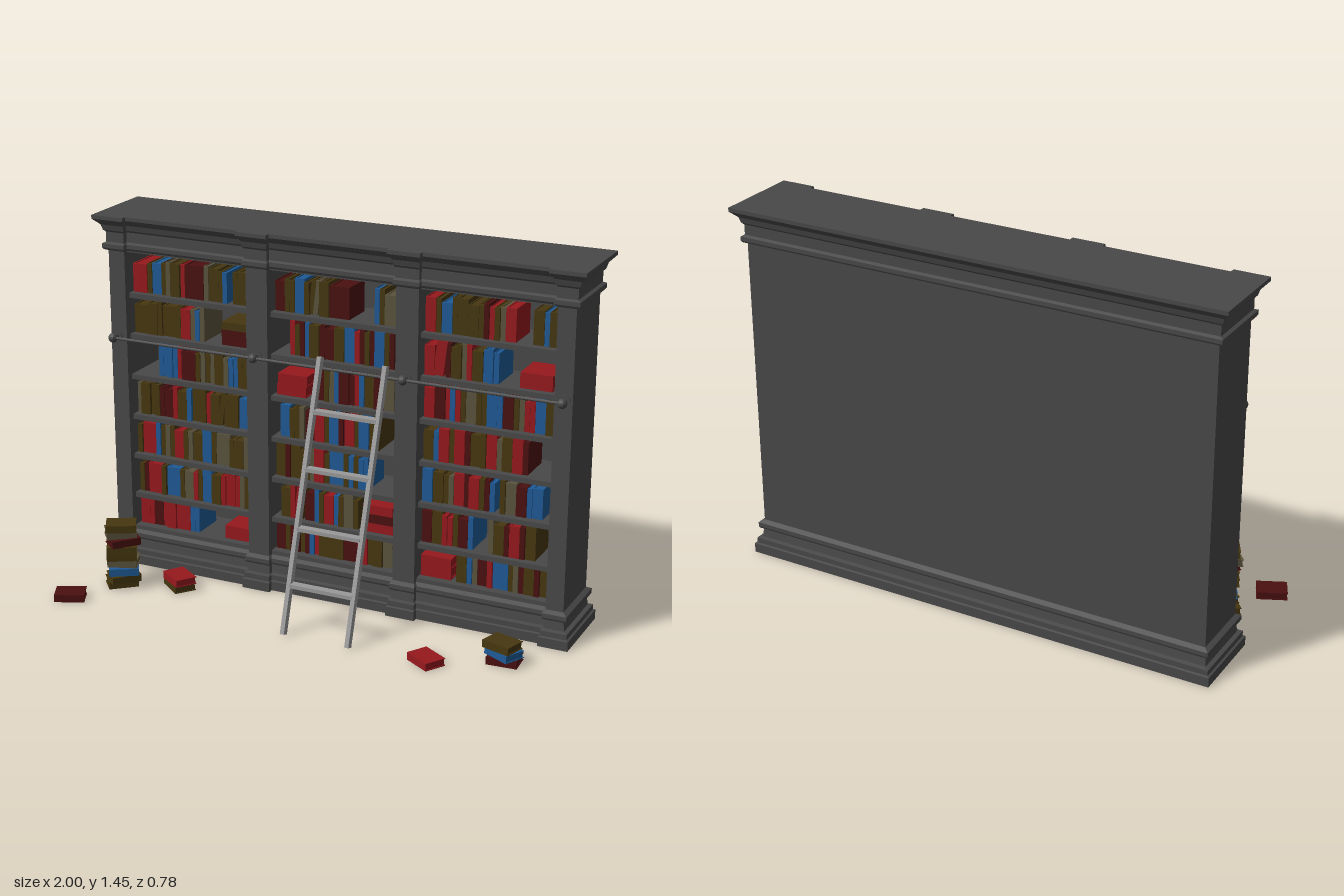
import * as THREE from 'three';
import { mergeGeometries } from 'three/addons/utils/BufferGeometryUtils.js';

const mat = (color) => new THREE.MeshStandardMaterial({ color, flatShading: true });
const wood = mat(0x484848), metal = mat(0x484848), ladderMat = mat(0x999999);
const bookMats = { R: mat(0x96191d), D: mat(0x4a1010), O: mat(0x463710), G: mat(0x5a523c), B: mat(0x1f5a96) };

let seed = 7;
const rnd = () => (seed = (seed * 16807) % 2147483647) / 2147483647;

function add(parent, name, geo, material, x = 0, y = 0, z = 0) {
  const m = new THREE.Mesh(geo, material);
  m.name = name;
  m.position.set(x, y, z);
  parent.add(m);
  return m;
}

// box given by its extents
function block(parent, name, x0, x1, y0, y1, z0, z1, material = wood) {
  return add(parent, name, new THREE.BoxGeometry(x1 - x0, y1 - y0, z1 - z0), material,
    (x0 + x1) / 2, (y0 + y1) / 2, (z0 + z1) / 2);
}

// moulded block: rectangular rings that grow by the profile offset,
// k = share of the offset used on the left (-x), right (+x), back and front
function moulded(profile, x0, x1, z0, z1, k) {
  const pos = [], idx = [];
  for (const [y, o] of profile) {
    const a = x0 - o * k[0], b = x1 + o * k[1], c = z0 - o * k[2], d = z1 + o * k[3];
    pos.push(a, y, d, b, y, d, b, y, c, a, y, c);
  }
  const n = profile.length;
  for (let i = 0; i < n - 1; i++) for (let j = 0; j < 4; j++) {
    const a = i * 4 + j, b = i * 4 + (j + 1) % 4;
    idx.push(a, b, b + 4, a, b + 4, a + 4);
  }
  const t = (n - 1) * 4;
  idx.push(t, t + 1, t + 2, t, t + 2, t + 3, 0, 2, 1, 0, 3, 2);
  const g = new THREE.BufferGeometry();
  g.setAttribute('position', new THREE.Float32BufferAttribute(pos, 3));
  g.setIndex(idx);
  const flat = g.toNonIndexed();
  flat.computeVertexNormals();
  return flat;
}

const baseProfile = [[0, .032], [.038, .032], [.041, .024], [.062, .024], [.066, .008], [.1, .004],
  [.105, .014], [.113, .018], [.13, .018], [.14, 0]];
const corniceProfile = [[1.305, 0], [1.311, .014], [1.318, .018], [1.334, .018], [1.34, .006], [1.38, .006],
  [1.388, .014], [1.41, .02], [1.43, .04], [1.435, .045], [1.45, .045]];

// unit book: thickness x, height y, spine towards +z
const part = (w, h, d, x, z) => new THREE.BoxGeometry(w, h, d).translate(x, 0, z);
const bookGeo = mergeGeometries([
  part(.1, 1, 1, -.45, 0), part(.1, 1, 1, .45, 0), part(.8, 1, .06, 0, .47), part(.8, .94, .9, 0, -.01)]);

function book(parent, color, thick, height, depth, x, y, z) {
  const b = add(parent, 'book', bookGeo, bookMats[color], x, y, z);
  b.scale.set(thick, height, depth);
  return b;
}

// book lying flat with its underside at y
function flatBook(parent, color, thick, height, depth, x, y, z, turn = 0) {
  const b = book(parent, color, thick, height, depth, x, y + thick / 2, z);
  b.rotation.set(0, turn, Math.PI / 2, 'YXZ');
  return b;
}

const bays = [[-.885, -.355], [-.265, .265], [.355, .885]];
const shelfY = [1.134, .967, .8, .632, .465, .297, .157];

// one letter per book colour, '-' widens it, lower case leans, space is a gap
const rows = [
  ['R--OB-OGO-RD---GO-OB OO--', 'O--O-OO--OR-GBG', '     BBBBRD--OGOGO-GBBOO-', 'GO-OODD-RO-BO-ORO-oOO-B-B',
    'OR--BOGOR-OGO-B-OG--OO-G-', 'ODR--OB--OG-ROB-O-RR-RGO-', 'R-RD-RR-R--BB'],
  ['D-OOB-OogOOD---     BOG--', '   RODBO-DD-O-B-RDODB-OD', '        D-OGBD-DRBOOD-G-', ' B-OOGD-R-OB-DR-OB-OO',
    'O-DO-O-GR-OB--OBOBB', ' O-RroD-BOR-BOG-O', 'D-OD-ODBRO-O--D--R-OO-G-'],
  ['R-OB-OO-O-ODROGR-   O-BO-', 'R-r-DOOGRO-BBB', 'R-D-RBROG-OOB-BD-OGRRB-O-', 'O-BR-OR-DO-OR-GO-R-D',
    'B-O-OGR-DR-ODB OG-D-BB-', 'D-O-RROD-B   GO-DR-DO-', '       O-BGD-RB-BOGDO-DO-'],
];
// lying shelf books: bay centre x, shelf row, colours from the bottom, thickness
const lying = [[-.43, 1, 'DDO', .031], [-.43, 6, 'R', .055], [-.19, 2, 'RR', .043], [.18, 5, 'RDR', .037],
  [.8, 1, 'R', .06], [.425, 6, 'RR', .043]];

function shelfBooks(parent) {
  const g = new THREE.Group();
  g.name = 'shelfBooks';
  parent.add(g);
  const step = .0208;
  rows.forEach((bay, i) => bay.forEach((row, r) => {
    for (const m of row.matchAll(/[A-Za-z]-*/g)) {
      const w = m[0].length * step, h = .115 + rnd() * .024, d = .135 + rnd() * .02;
      const b = book(g, m[0][0].toUpperCase(), w - .001, h, d,
        bays[i][0] + .005 + m.index * step + w / 2, shelfY[r] + h / 2, -.14 - rnd() * .012 - d / 2);
      if (/[a-z]/.test(m[0])) { b.rotation.z = -.12; b.position.y += .003; }
    }
  }));
  for (const [x, r, colors, t] of lying)
    [...colors].forEach((c, i) => flatBook(g, c, t, .125, .14, x + (rnd() - .5) * .008, shelfY[r] + i * t, -.215));
}

function floorBooks(parent) {
  const g = new THREE.Group();
  g.name = 'floorBooks';
  parent.add(g);
  // x, z, turn of the top book, colours from the bottom
  const stacks = [[-.93, .325, .43, 'D'], [-.807, .13, .5, 'OOBGOODGO'], [-.59, .055, -.6, 'OR'],
    [.8, .13, -.3, 'DBO'], [.55, .25, -.55, 'R']];
  for (const [x, z, turn, colors] of stacks)
    [...colors].forEach((c, i) => {
      const k = i === colors.length - 1 ? 0 : 1;
      flatBook(g, c, .03, .118, .088, x + k * (rnd() - .5) * .02, i * .03, z + k * (rnd() - .5) * .02,
        turn + k * (rnd() - .5) * 1.1);
    });
}

function bookcase(parent) {
  const g = new THREE.Group();
  g.name = 'bookcase';
  parent.add(g);
  block(g, 'backPanel', -.955, .955, .1, 1.36, -.35, -.33);
  // plinth and cornice running behind the pilasters
  add(g, 'plinth', moulded([...baseProfile, [.157, 0]], -.955, .955, -.35, -.112, [1, 1, 1, 1]), wood);
  add(g, 'cornice', moulded([[1.3, 0], ...corniceProfile], -.955, .955, -.35, -.112, [1, 1, 1, 1]), wood);
  // pilasters, which also divide the bays
  const full = [...baseProfile, ...corniceProfile];
  add(g, 'outerPilaster', moulded(full, -.955, -.885, -.35, -.09, [1, .5, 1, 1]), wood);
  add(g, 'outerPilaster', moulded(full, .885, .955, -.35, -.09, [.5, 1, 1, 1]), wood);
  for (const x of [-.31, .31])
    add(g, 'innerPilaster', moulded(full, x - .045, x + .045, -.34, -.09, [.45, .45, 0, 1]), wood);
  for (const [x0, x1] of bays)
    for (const y of shelfY.slice(0, -1)) block(g, 'shelf', x0, x1, y - .02, y, -.335, -.118);
}

function ladderRail(parent) {
  const g = new THREE.Group();
  g.name = 'ladderRail';
  parent.add(g);
  const y = .962, z = -.055;
  add(g, 'rail', new THREE.CylinderGeometry(.006, .006, 1.86, 10).rotateZ(Math.PI / 2), metal, 0, y, z);
  for (const x of [-.927, -.31, .31, .927]) {
    add(g, 'railKnob', new THREE.SphereGeometry(.019, 12, 8), metal, x, y, z);
    add(g, 'railPost', new THREE.CylinderGeometry(.008, .008, .04, 10).rotateX(Math.PI / 2), metal, x, y, -.075);
    add(g, 'railPlate', new THREE.CylinderGeometry(.021, .021, .007, 12).rotateX(Math.PI / 2), metal, x, y, -.089);
  }
}

function ladder(parent) {
  const g = new THREE.Group();
  g.name = 'ladder';
  parent.add(g);
  const zAt = (y) => .27 - .322 * y;
  for (const x of [-.024, .243]) {
    const leg = add(g, 'ladderLeg', new THREE.BoxGeometry(.017, 1.054, .028), ladderMat, x, .506, zAt(.506));
    leg.rotation.x = -Math.atan(.322);
  }
  for (const y of [.185, .39, .605, .812])
    add(g, 'ladderRung', new THREE.BoxGeometry(.26, .015, .032), ladderMat, .11, y, zAt(y));
}

export function createModel() {
  seed = 7;
  const model = new THREE.Group();
  model.name = 'libraryBookcase';
  bookcase(model);
  shelfBooks(model);
  floorBooks(model);
  ladderRail(model);
  ladder(model);
  return model;
}
